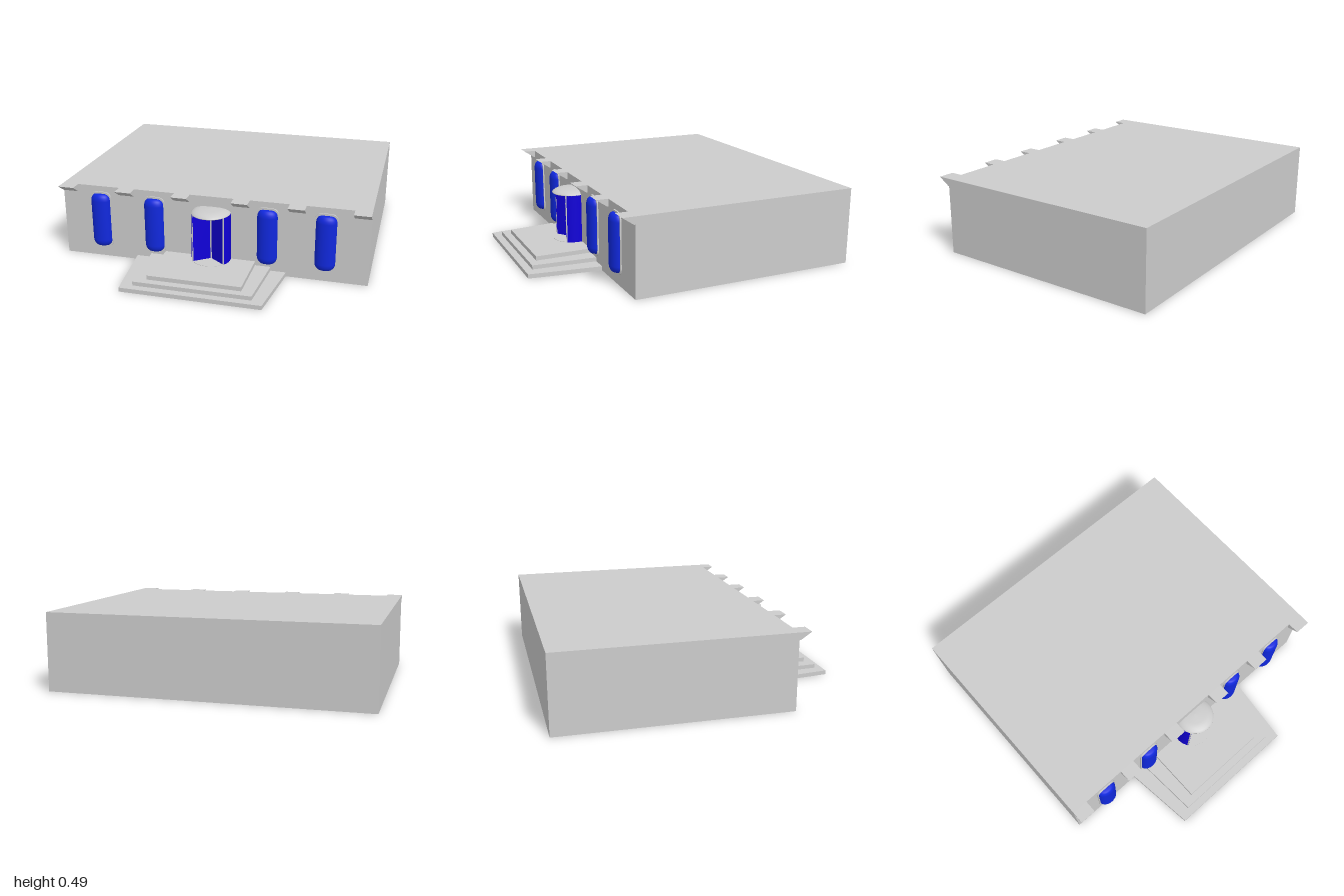
import * as THREE from 'three';

const FRONT = 0.503; // z of the facade
const grey = new THREE.MeshStandardMaterial({ color: 0xcccccc });
const glass = new THREE.MeshStandardMaterial({ color: 0x1028dd });
const doorBlue = new THREE.MeshStandardMaterial({ color: 0x1000d8, side: THREE.DoubleSide });

function add(parent, name, geometry, material, x = 0, y = 0, z = 0) {
  const mesh = new THREE.Mesh(geometry, material);
  mesh.name = name;
  mesh.position.set(x, y, z);
  parent.add(mesh);
  return mesh;
}

function extrude(shape, depth) {
  return new THREE.ExtrudeGeometry(shape, { depth, bevelEnabled: false, curveSegments: 8 });
}

const polygon = (pts) => new THREE.Shape(pts.map(([x, y]) => new THREE.Vector2(x, y)));

function roundedRect(Type, w, h, r) {
  const s = new Type();
  s.moveTo(-w, -h + r);
  s.lineTo(-w, h - r);
  s.quadraticCurveTo(-w, h, -w + r, h);
  s.lineTo(w - r, h);
  s.quadraticCurveTo(w, h, w, h - r);
  s.lineTo(w, -h + r);
  s.quadraticCurveTo(w, -h, w - r, -h);
  s.lineTo(-w + r, -h);
  s.quadraticCurveTo(-w, -h, -w, -h + r);
  return s;
}

// Bulging half-round pane in a thin rounded frame
function createWindow(x) {
  const group = new THREE.Group();
  group.name = 'window';
  group.position.set(x, 0.26, FRONT);
  const half = [[0.065, 0.135], [0.062, 0.152], [0.054, 0.167], [0.044, 0.176], [0.032, 0.18], [0, 0.18]];
  const profile = [...half.map(([r, y]) => [r, -y]).reverse(), ...half]
    .map(([r, y]) => new THREE.Vector2(r, y));
  const pane = add(group, 'windowPane', new THREE.LatheGeometry(profile, 24, -Math.PI / 2, Math.PI), glass);
  pane.scale.z = 0.72;
  const ring = roundedRect(THREE.Shape, 0.072, 0.193, 0.05);
  ring.holes.push(roundedRect(THREE.Path, 0.065, 0.181, 0.045));
  add(group, 'windowFrame', extrude(ring, 0.008), grey);
  return group;
}

// Revolving door: curved side walls, two leaves, posts and a domed canopy
function createEntrance() {
  const group = new THREE.Group();
  group.name = 'revolvingDoor';
  group.position.set(0.008, 0, 0.527);
  const r = 0.125, bottom = 0.08, top = 0.395;
  const height = top - bottom, mid = (top + bottom) / 2;
  const opening = THREE.MathUtils.degToRad(53);
  const sweep = THREE.MathUtils.degToRad(55);

  for (const side of [-1, 1]) {
    const start = side > 0 ? opening : -opening - sweep;
    add(group, 'doorSideWall',
      new THREE.CylinderGeometry(r, r, height, 12, 1, true, start, sweep), doorBlue, 0, mid);
    const angle = side * opening;
    const ex = Math.sin(angle) * r, ez = Math.cos(angle) * r;
    const leaf = add(group, 'doorLeaf', new THREE.BoxGeometry(0.004, height, r), doorBlue, ex / 2, mid, ez / 2);
    leaf.rotation.y = angle;
    add(group, 'doorEdgePost', new THREE.BoxGeometry(0.008, height, 0.008), grey, ex, mid, ez - 0.003);
  }
  add(group, 'doorCentrePost', new THREE.CylinderGeometry(0.008, 0.008, height, 12), grey, 0, mid);
  add(group, 'doorFloor', new THREE.CylinderGeometry(r, r, 0.004, 40), grey, 0, bottom);

  const dome = [[0, 0.393], [r, 0.393], [r, 0.397], [0.114, 0.407], [0.094, 0.416], [0.065, 0.422], [0, 0.425]]
    .map(([x, y]) => new THREE.Vector2(x, y));
  add(group, 'doorCanopy', new THREE.LatheGeometry(dome, 40), grey);
  return group;
}

export function createModel() {
  const model = new THREE.Group();
  model.name = 'building';

  // Main block
  const depth = FRONT + 0.96;
  add(model, 'mainBlock', new THREE.BoxGeometry(2, 0.49, depth), grey, 0, 0.245, FRONT - depth / 2);

  // Wedge brackets along the roof edge
  const wedge = polygon([[0, 0.443], [0.008, 0.443], [0.078, 0.49], [0, 0.49]]);
  for (const x of [-0.948, -0.56, -0.188, 0.2, 0.553, 0.948]) {
    const bracket = add(model, 'roofBracket', extrude(wedge, 0.104), grey, x + 0.052, 0, FRONT);
    bracket.rotation.y = -Math.PI / 2;
  }

  // Stacked steps: [back half width, front half width, front z, bottom, top]
  const steps = [
    [0.497, 0.443, 0.96, 0, 0.027],
    [0.398, 0.372, 0.912, 0.027, 0.053],
    [0.298, 0.298, 0.864, 0.053, 0.08],
  ];
  for (const [back, front, z, y0, y1] of steps) {
    const outline = polygon([[-back, -FRONT], [-front, -z], [front, -z], [back, -FRONT]]);
    const step = add(model, 'entranceStep', extrude(outline, y1 - y0), grey, -0.009, y0, 0);
    step.rotation.x = -Math.PI / 2;
  }

  for (const x of [-0.742, -0.377, 0.365, 0.73]) model.add(createWindow(x));
  model.add(createEntrance());
  return model;
}
